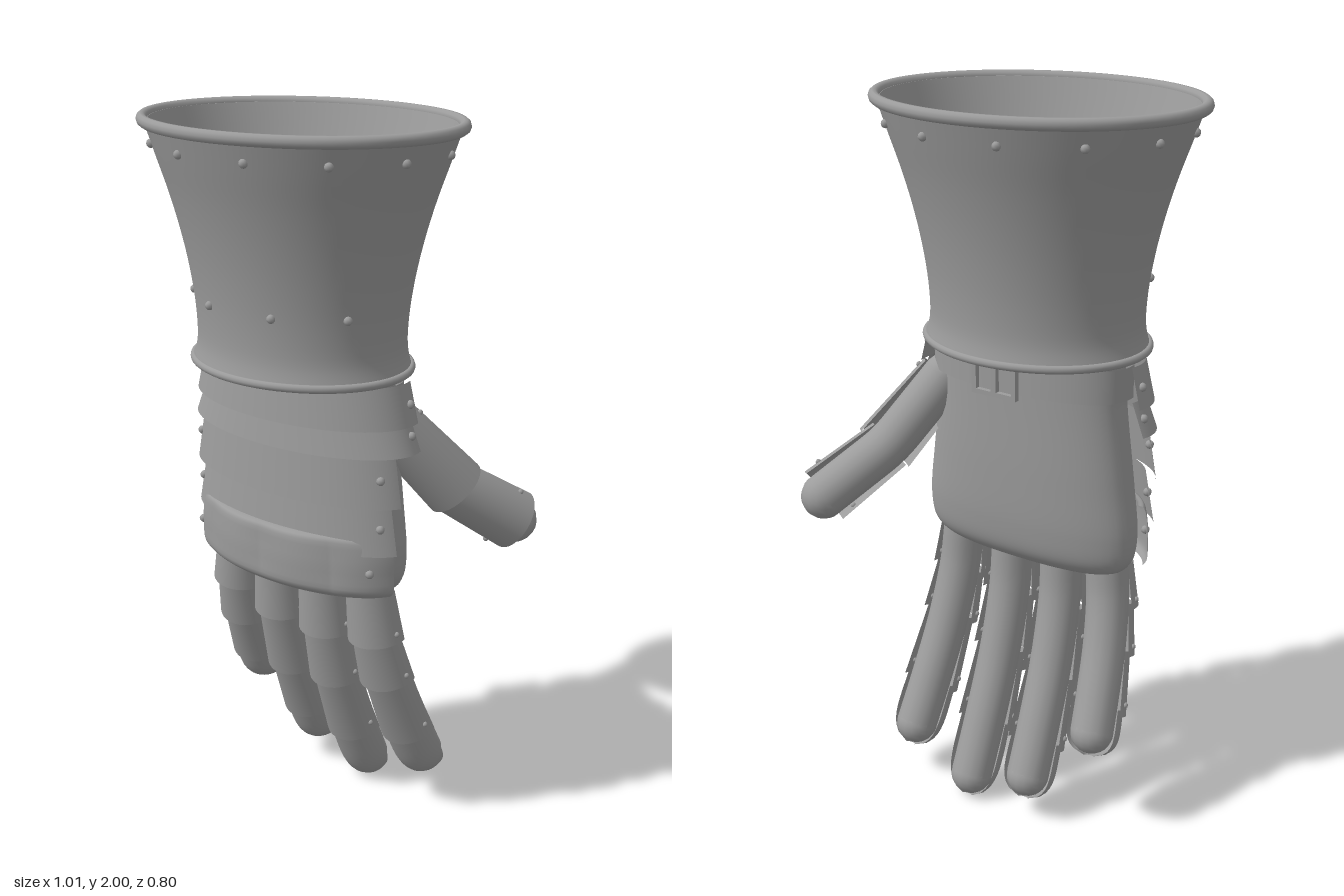
import * as THREE from 'three';
import { ParametricGeometry } from 'three/addons/geometries/ParametricGeometry.js';
import { toCreasedNormals } from 'three/addons/utils/BufferGeometryUtils.js';

const steel = new THREE.MeshStandardMaterial({ color: 0x9c9c9c, side: THREE.DoubleSide });
steel.name = 'steel';
const V = (x, y, z) => new THREE.Vector3(x, y, z);
const rad = THREE.MathUtils.degToRad;
const lerp = THREE.MathUtils.lerp;
const CX = -0.038;

function add(parent, name, geometry) {
  const mesh = new THREE.Mesh(geometry, steel);
  mesh.name = name;
  parent.add(mesh);
  return mesh;
}

function surface(parent, name, point, nu, nv) {
  const geo = new ParametricGeometry((u, v, target) => target.copy(point(u, v)), nu, nv);
  return add(parent, name, geo);
}

function rivet(parent, position, r = 0.012) {
  add(parent, 'rivet', new THREE.SphereGeometry(r, 8, 6)).position.copy(position);
}

// Flared oval cuff with rolled rims and rows of rivets
function makeCuff() {
  const cuff = new THREE.Group();
  cuff.name = 'cuff';
  const flat = 0.82, cz = 0.018;
  const outer = new THREE.SplineCurve([[0.318, 1.35], [0.303, 1.41], [0.306, 1.5], [0.321, 1.6], [0.344, 1.7],
    [0.374, 1.8], [0.41, 1.9], [0.44, 1.985]].map(p => new THREE.Vector2(...p))).getPoints(28);
  const inner = outer.map(p => new THREE.Vector2(p.x - 0.014, p.y)).reverse();
  const wall = new THREE.LatheGeometry([...outer, ...inner, outer[0].clone()], 64);
  wall.scale(1, 1, flat);
  add(cuff, 'cuffWall', toCreasedNormals(wall, 0.7)).position.set(CX, 0, cz);
  for (const [name, y, r, tube] of [['topRim', 1.984, 0.443, 0.016], ['wristRim', 1.356, 0.315, 0.011]]) {
    const rim = new THREE.TorusGeometry(r, tube, 10, 64);
    rim.rotateX(Math.PI / 2);
    rim.scale(1, 1, flat);
    add(cuff, name, rim).position.set(CX, y, cz);
  }
  const ring = (y, r, deg) =>
    rivet(cuff, V(CX + r * Math.cos(rad(deg)), y, cz + r * flat * Math.sin(rad(deg))));
  for (let i = 0; i < 12; i++) ring(1.925, 0.42, 15 + i * 30);
  for (const a of [31, 70, 110, 149]) ring(1.53, 0.311, a);
  return cuff;
}

// Palm body, open at the wrist and rounded shut below
function makePalm() {
  const palm = new THREE.Group();
  palm.name = 'palm';
  const rows = new THREE.CatmullRomCurve3([[1.35, 0.275, 0.12], [1.2, 0.288, 0.12], [1.0, 0.315, 0.12],
    [0.85, 0.332, 0.114], [0.78, 0.322, 0.102], [0.745, 0.29, 0.08], [0.732, 0.2, 0.05],
    [0.73, 0.001, 0.001]].map(p => V(...p)));
  const pow = (c, e) => Math.sign(c) * Math.abs(c) ** e;
  surface(palm, 'palmBody', (u, v) => {
    const r = rows.getPoint(v), a = u * Math.PI * 2;
    return V(CX + r.y * pow(Math.cos(a), 0.85), r.x, -0.005 + r.z * pow(Math.sin(a), 0.85));
  }, 48, 40);
  // Wrist strap and its buckle
  surface(palm, 'strap', (u, v) => {
    const a = rad(lerp(175, 365, u));
    return V(CX + 0.305 * pow(Math.cos(a), 0.85), lerp(1.335, 1.245, v), 0.14 * pow(Math.sin(a), 0.85));
  }, 32, 1);
  const frame = new THREE.Shape([[-0.07, -0.05], [0.07, -0.05], [0.07, 0.05], [-0.07, 0.05]].map(p => new THREE.Vector2(...p)));
  for (const s of [-1, 1]) {
    const x = s * 0.032;
    frame.holes.push(new THREE.Path([[x - 0.024, -0.037], [x - 0.024, 0.037], [x + 0.024, 0.037], [x + 0.024, -0.037]]
      .map(p => new THREE.Vector2(...p))));
  }
  add(palm, 'buckle', new THREE.ExtrudeGeometry(frame, { depth: 0.014, bevelEnabled: false }))
    .position.set(-0.03, 1.288, -0.172);
  return palm;
}

// Overlapping plates over the back of the hand, ending in the knuckle plate
function makeHandPlates() {
  const plates = new THREE.Group();
  plates.name = 'handPlates';
  const onPlate = (rx, rz, y, a) => V(CX + rx * Math.cos(a), y, rz * Math.sin(a));
  const lames = [ // top y, bottom y, width and depth at top and bottom, start angle
    [1.345, 1.235, 0.332, 0.36, 0.19, 0.202, -10],
    [1.25, 1.16, 0.335, 0.372, 0.178, 0.192, -10],
    [1.175, 1.02, 0.348, 0.376, 0.168, 0.182, 14],
    [1.035, 0.885, 0.347, 0.376, 0.163, 0.178, 17],
  ];
  lames.forEach(([y0, y1, w0, w1, d0, d1, start], i) => {
    surface(plates, 'handLame', (u, v) =>
      onPlate(lerp(w0, w1, v), lerp(d0, d1, v), lerp(y0, y1, v), rad(lerp(start, 180 - start, u))), 40, 2);
    const a = i < 2 ? -3 : 27;
    for (const s of [a, 180 - a])
      rivet(plates, onPlate(lerp(w0, w1, 0.5), lerp(d0, d1, 0.5), (y0 + y1) / 2, rad(s)));
  });
  const profile = new THREE.CatmullRomCurve3([[0.932, 0.325, 0.168], [0.925, 0.343, 0.187], [0.88, 0.354, 0.19],
    [0.82, 0.357, 0.19], [0.775, 0.356, 0.188], [0.758, 0.345, 0.175]].map(p => V(...p)));
  surface(plates, 'knucklePlate', (u, v) => {
    const a = rad(lerp(14, 166, u)), p = profile.getPoint(v);
    const bump = 0.008 * Math.abs(Math.sin(u * Math.PI * 4)) * Math.sin(v * Math.PI);
    return onPlate(p.y, p.z + bump, p.x, a);
  }, 64, 16);
  for (const s of [31, 149]) rivet(plates, onPlate(0.358, 0.196, 0.835, rad(s)));
  return plates;
}

// Half-round plate wrapped on the outward side of a limb from a to b
function addLame(parent, name, a, b, outward, radius, rivetAt) {
  const axis = b.clone().sub(a).normalize();
  const front = outward.clone().addScaledVector(axis, -outward.dot(axis)).normalize();
  const side = new THREE.Vector3().crossVectors(front, axis).normalize();
  const at = (deg, v) => a.clone().lerp(b, v)
    .addScaledVector(side, radius(v) * Math.cos(rad(deg)))
    .addScaledVector(front, radius(v) * Math.sin(rad(deg)));
  surface(parent, name, (u, v) => at(lerp(-6, 186, u), v), 18, 12);
  if (rivetAt) for (const d of [12, 168]) rivet(parent, at(d, rivetAt), 0.008);
}

// Round glove limb with a domed tip
function addLimb(parent, name, curve, r) {
  add(parent, name, new THREE.TubeGeometry(curve, 24, r, 16));
  for (const t of [0, 1])
    add(parent, name + 'End', new THREE.SphereGeometry(r, 16, 12)).position.copy(curve.getPoint(t));
}

function makeFinger(name, x0, x1, tipY, curl, breaks) {
  const finger = new THREE.Group();
  finger.name = name;
  const depth = [0.01, -0.005, -0.058, -0.138, -0.2];
  const path = [0, 0.22, 0.51, 0.8, 1].map((t, i) =>
    V(lerp(x0, x1, t), lerp(0.76, tipY, t), 0.01 + (depth[i] - 0.01) * curl));
  const curve = new THREE.CatmullRomCurve3(path);
  addLimb(finger, 'fingerGlove', curve, 0.06);
  // Find the point on the finger at a given height
  const atY = y => {
    let lo = 0, hi = 1;
    for (let i = 0; i < 24; i++) {
      const m = (lo + hi) / 2;
      if (curve.getPoint(m).y > y) lo = m; else hi = m;
    }
    return curve.getPoint(lo);
  };
  const out = V(0, 0, 1);
  for (let i = 0; i < 3; i++)
    addLame(finger, 'fingerLame', atY(breaks[i] + 0.012), atY(breaks[i + 1]), out, v => lerp(0.073, 0.086, v), 0.82);
  const start = atY(breaks[3] + 0.015), end = curve.getPoint(1);
  const tip = end.clone().add(end.clone().sub(start).normalize().multiplyScalar(0.066));
  addLame(finger, 'fingertipPlate', start, tip, out,
    v => (0.076 + 0.006 * v) * Math.sqrt(Math.max(0.03, 1 - v ** 5)));
  return finger;
}

function makeThumb() {
  const thumb = new THREE.Group();
  thumb.name = 'thumb';
  const p = [V(0.225, 1.21, -0.045), V(0.325, 1.025, -0.175), V(0.432, 0.9, -0.338)];
  const curve = new THREE.CurvePath();
  const k0 = p[1].clone().lerp(p[0], 0.2), k1 = p[1].clone().lerp(p[2], 0.2);
  curve.add(new THREE.LineCurve3(p[0], k0));
  curve.add(new THREE.QuadraticBezierCurve3(k0, p[1], k1));
  curve.add(new THREE.LineCurve3(k1, p[2]));
  addLimb(thumb, 'thumbGlove', curve, 0.064);
  const out = V(0.8, -0.15, 0.55);
  addLame(thumb, 'thumbLame', p[0], p[1].clone().lerp(p[2], 0.08), out, v => lerp(0.076, 0.088, v), 0.08);
  addLame(thumb, 'thumbLame', p[1], p[2], out, v => lerp(0.076, 0.086, v), 0.8);
  return thumb;
}

export function createModel() {
  const gauntlet = new THREE.Group();
  gauntlet.name = 'gauntlet';
  gauntlet.add(makeCuff(), makePalm(), makeHandPlates(), makeThumb());
  gauntlet.add(
    makeFinger('indexFinger', 0.205, 0.242, 0.16, 0.97, [0.74, 0.6, 0.465, 0.27]),
    makeFinger('middleFinger', 0.035, 0.036, 0.066, 1, [0.745, 0.575, 0.41, 0.205]),
    makeFinger('ringFinger', -0.13, -0.157, 0.13, 0.97, [0.74, 0.58, 0.385, 0.21]),
    makeFinger('littleFinger', -0.278, -0.335, 0.31, 0.72, [0.75, 0.635, 0.51, 0.36]),
  );
  return gauntlet;
}
